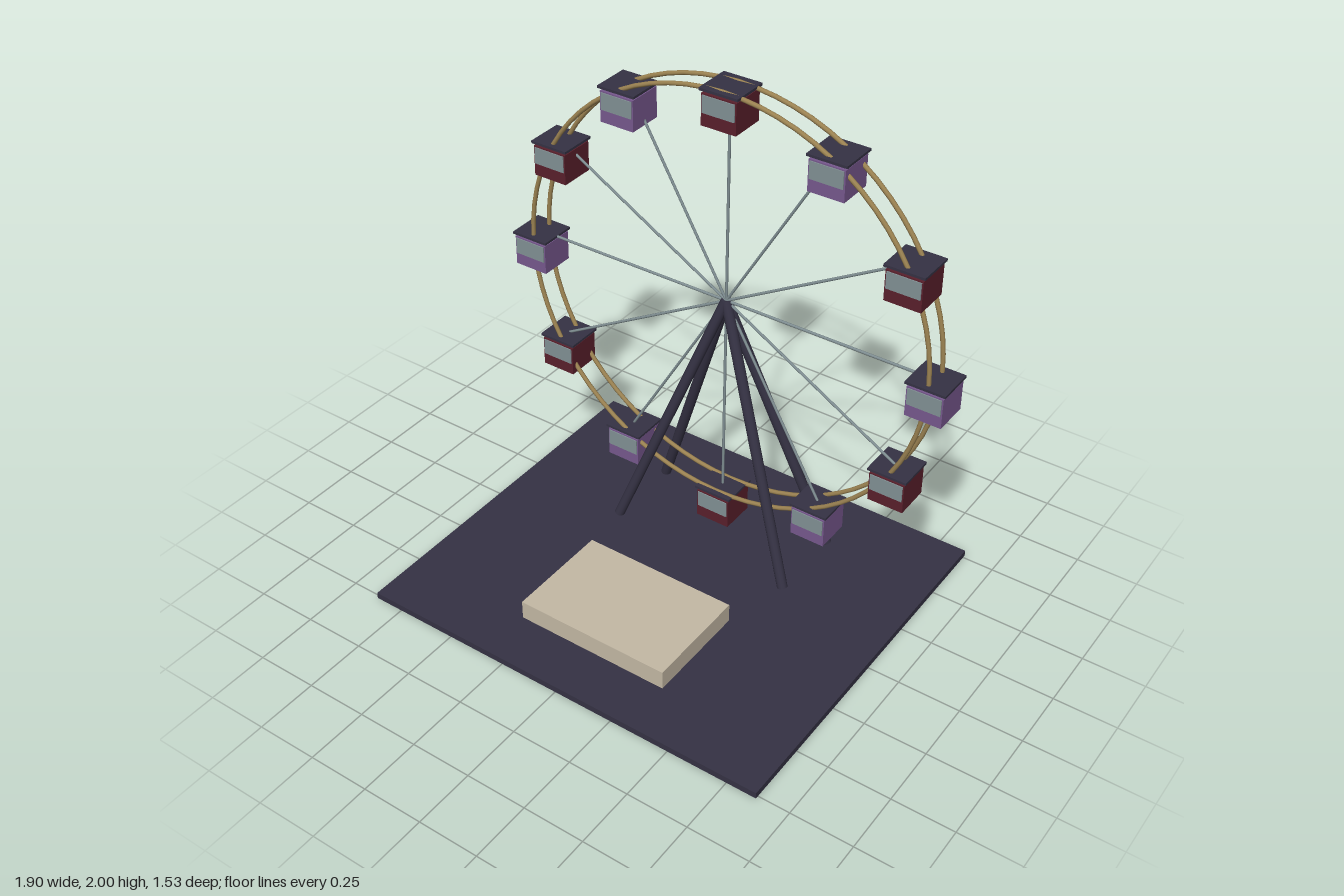
import * as THREE from 'three';

const mat = (name, color) => {
  const m = new THREE.MeshStandardMaterial({ color });
  m.name = name;
  return m;
};

export function createModel() {
  const root = new THREE.Group();
  root.name = 'ferrisWheel';

  const navy = mat('navy', 0x353244);
  const cream = mat('cream', 0xc4b9a5);
  const gold = mat('gold', 0x9c8352);
  const grey = mat('greyTeal', 0x829195);
  const red = mat('darkRed', 0x5a202c);
  const purple = mat('purple', 0x77588e);

  const add = (parent, name, geo, material, x = 0, y = 0, z = 0) => {
    const mesh = new THREE.Mesh(geo, material);
    mesh.name = name;
    mesh.position.set(x, y, z);
    parent.add(mesh);
    return mesh;
  };

  // Round bar between two points
  const bar = (parent, name, a, b, r, sides, material) => {
    const dir = b.clone().sub(a);
    const mesh = add(parent, name, new THREE.CylinderGeometry(r, r, dir.length(), sides), material);
    mesh.position.copy(a).add(b).multiplyScalar(0.5);
    mesh.quaternion.setFromUnitVectors(new THREE.Vector3(0, 1, 0), dir.normalize());
    return mesh;
  };

  const R = 0.87;
  const hub = new THREE.Vector3(0, 1.12, -0.327);

  // Ground slab and boarding platform
  add(root, 'base', new THREE.BoxGeometry(1.744, 0.026, 1.526), navy, 0, 0.013, 0);
  add(root, 'platform', new THREE.BoxGeometry(0.65, 0.08, 0.436), cream, 0, 0.065, 0.327);

  // Four splayed legs meeting at the axle
  for (const sx of [-1, 1]) {
    for (const sz of [-1, 1]) {
      const foot = new THREE.Vector3(sx * 0.392, 0.028, hub.z + sz * 0.164);
      bar(root, 'leg', foot, hub, 0.021, 12, navy);
    }
  }

  // Twin rims
  const wheel = new THREE.Group();
  wheel.name = 'wheel';
  wheel.position.copy(hub);
  root.add(wheel);
  const rimGeo = new THREE.TorusGeometry(R, 0.009, 8, 72);
  for (const sz of [-1, 1]) add(wheel, 'rim', rimGeo, gold, 0, 0, sz * 0.049);

  // Spokes and hanging cabins, alternating in colour
  const roofGeo = new THREE.BoxGeometry(0.16, 0.01, 0.155);
  const bodyGeo = new THREE.BoxGeometry(0.145, 0.124, 0.145);
  const windowGeo = new THREE.BoxGeometry(0.134, 0.068, 0.006);
  for (let i = 0; i < 12; i++) {
    const a = (i * Math.PI) / 6;
    const end = new THREE.Vector3(Math.sin(a) * R, Math.cos(a) * R, 0);
    bar(wheel, 'spoke', new THREE.Vector3(), end, 0.0055, 6, grey);

    const cabin = new THREE.Group();
    cabin.name = 'cabin';
    cabin.position.copy(end);
    wheel.add(cabin);
    add(cabin, 'roof', roofGeo, navy, 0, 0.001, 0);
    add(cabin, 'body', bodyGeo, i % 2 ? purple : red, 0, -0.076, 0);
    add(cabin, 'window', windowGeo, grey, 0, -0.053, 0.0735);
  }

  return root;
}
